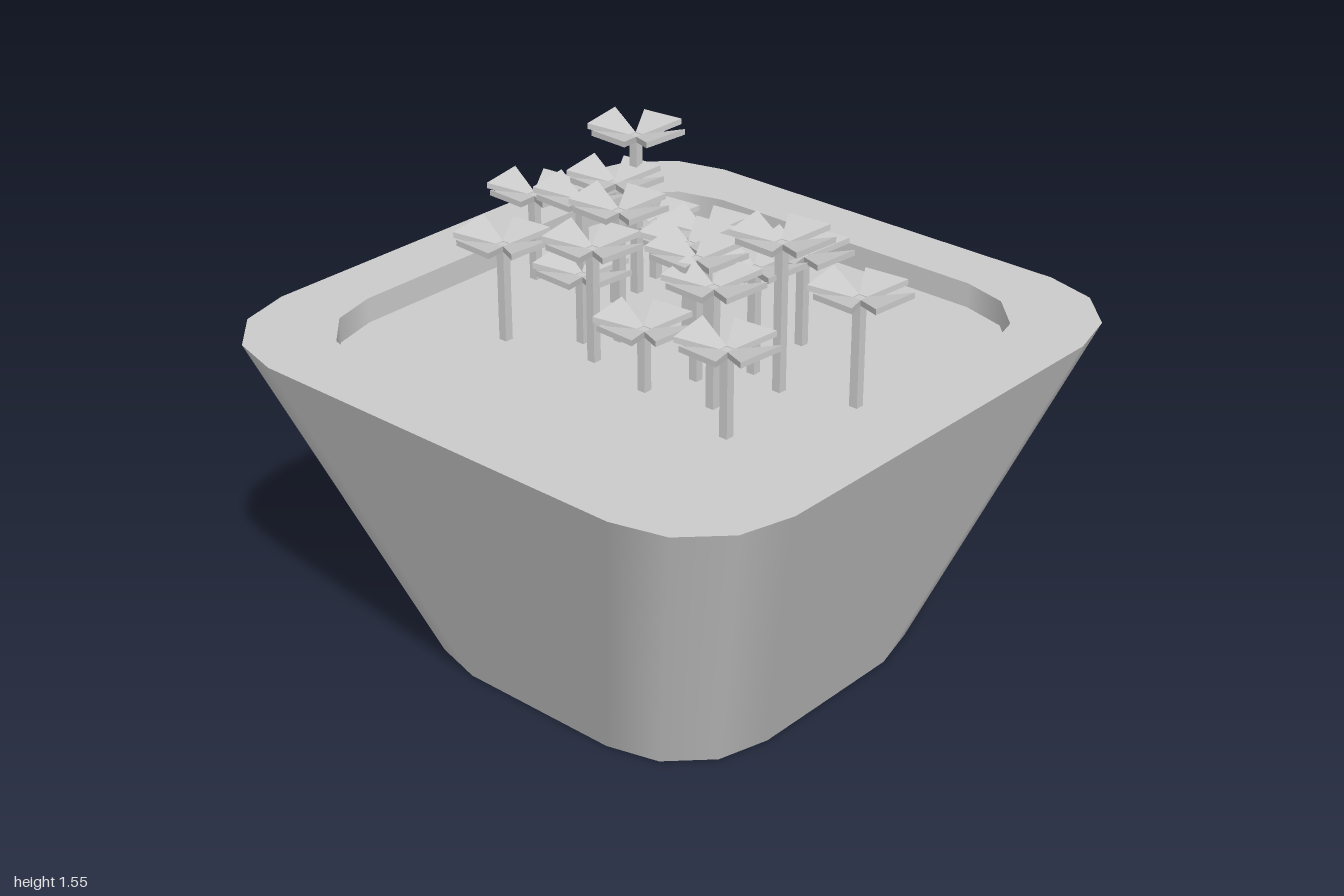
import * as THREE from 'three';
import { ConvexGeometry } from 'three/addons/geometries/ConvexGeometry.js';

const grey = new THREE.MeshStandardMaterial({ color: 0xcccccc });
const RIM = 1.07, SOIL = 0.99;

// Rounded-square outline with three facets per corner
function ring(half, radius, y) {
  const points = [];
  for (let c = 0; c < 4; c++) {
    const mid = (c + 0.5) * Math.PI / 2;
    const cx = Math.sign(Math.cos(mid)) * (half - radius);
    const cz = Math.sign(Math.sin(mid)) * (half - radius);
    for (let i = 0; i <= 3; i++) {
      const a = (c + i / 3) * Math.PI / 2;
      const nx = Math.cos(a), nz = Math.sin(a);
      points.push({ x: cx + radius * nx, z: cz + radius * nz, nx, nz });
    }
  }
  return { half, y, points };
}

// Wall between two rings; faces outward when b is above a, inward otherwise
function wall(a, b) {
  const pos = [], nor = [], idx = [];
  const sign = Math.sign(b.y - a.y);
  const slope = -(b.half - a.half) / (b.y - a.y);
  const n = a.points.length;
  for (let i = 0; i < n; i++) {
    for (const r of [a, b]) {
      const p = r.points[i];
      const v = new THREE.Vector3(p.nx, slope, p.nz).normalize().multiplyScalar(sign);
      pos.push(p.x, r.y, p.z);
      nor.push(v.x, v.y, v.z);
    }
    const p = 2 * i, q = 2 * ((i + 1) % n);
    idx.push(p, p + 1, q + 1, p, q + 1, q);
  }
  const g = new THREE.BufferGeometry();
  g.setAttribute('position', new THREE.Float32BufferAttribute(pos, 3));
  g.setAttribute('normal', new THREE.Float32BufferAttribute(nor, 3));
  g.setIndex(idx);
  return g;
}

// Flat cap over a ring, optionally with a hole
function cap(outer, hole, up = true) {
  const outline = r => r.points.map(p => new THREE.Vector2(p.x, p.z));
  const shape = new THREE.Shape(outline(outer));
  if (hole) shape.holes.push(new THREE.Path(outline(hole)));
  return new THREE.ShapeGeometry(shape)
    .rotateX(up ? -Math.PI / 2 : Math.PI / 2)
    .translate(0, outer.y, 0);
}

function add(parent, name, geometry) {
  const mesh = new THREE.Mesh(geometry, grey);
  mesh.name = name;
  parent.add(mesh);
  return mesh;
}

// Upward-tilted wedge; corners are [x, z], rising with distance along one axis
function petal(axis, corners) {
  const points = [];
  for (const [x, z] of corners) {
    const y = 0.28 * Math.abs(axis === 'x' ? x : z);
    points.push(new THREE.Vector3(x, y, z), new THREE.Vector3(x, y + 0.018, z));
  }
  return new ConvexGeometry(points);
}

export function createModel() {
  const model = new THREE.Group();
  model.name = 'plantedPot';

  // Pot with a thick rim and sunken soil
  const base = ring(0.615, 0.335, 0);
  const rim = ring(1, 0.34, RIM);
  const lip = ring(0.795, 0.3, RIM);
  const soil = ring(0.795, 0.3, SOIL);
  const pot = new THREE.Group();
  pot.name = 'pot';
  model.add(pot);
  add(pot, 'outerWall', wall(base, rim));
  add(pot, 'innerWall', wall(lip, soil));
  add(pot, 'rim', cap(rim, lip));
  add(pot, 'bottom', cap(base, null, false));
  add(pot, 'soil', cap(soil));

  // Four slightly skewed petals, mirrored in pairs
  const c = 0.014;
  const petals = [];
  for (const s of [-1, 1]) {
    petals.push(petal('z', [[-c, s * c], [c, s * c], [-0.085, s * 0.12], [0.062, s * 0.142]]));
    petals.push(petal('x', [[s * c, -c], [s * c, c], [s * 0.118, -0.073], [s * 0.128, 0.07]]));
  }

  // Flowers: x, z and height of the flower head
  const flowers = [
    [0.075, -0.645, 1.28], [-0.30, -0.405, 1.305], [0.33, -0.37, 1.185], [0.21, -0.34, 1.515],
    [0, -0.37, 1.365], [0.11, -0.335, 1.395], [-0.16, -0.22, 1.215], [-0.23, -0.11, 1.355],
    [-0.08, -0.145, 1.415], [0.195, -0.045, 1.285], [0.03, 0.03, 1.325], [-0.275, 0.13, 1.19],
    [-0.125, 0.195, 1.38], [0.26, 0.275, 1.285], [-0.225, 0.345, 1.37], [-0.335, 0.49, 1.265],
    [-0.02, 0.42, 1.46], [0.05, 0.645, 1.335], [0.02, 0.29, 1.33],
  ];
  for (const [x, z, y] of flowers) {
    const flower = new THREE.Group();
    flower.name = 'flower';
    flower.position.set(x, y - 0.027, z);
    const top = 0.02, length = y - 0.027 + top - SOIL;
    add(flower, 'stem', new THREE.BoxGeometry(0.028, length, 0.028)).position.y = top - length / 2;
    for (const g of petals) add(flower, 'petal', g);
    model.add(flower);
  }
  return model;
}
